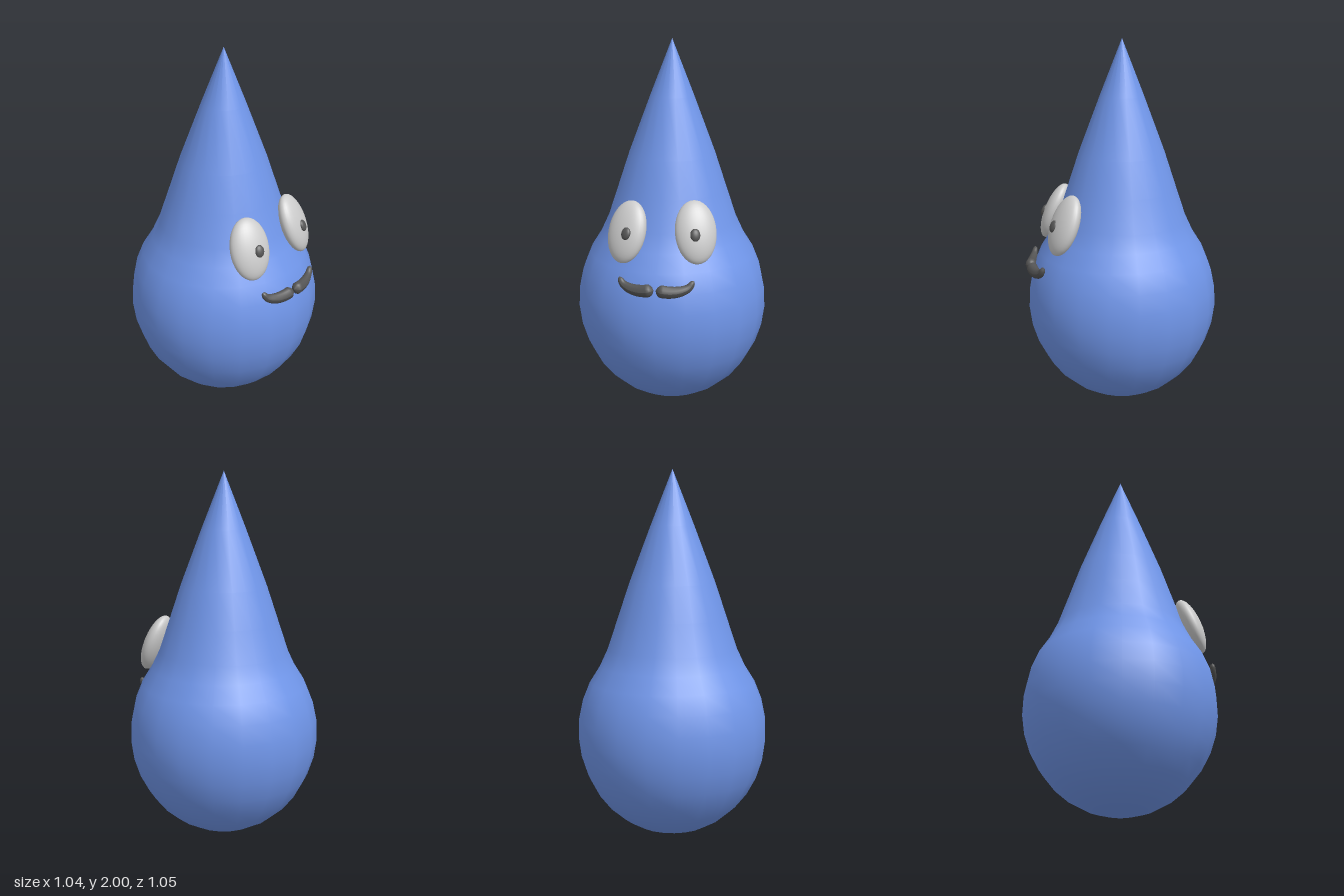
import * as THREE from 'three';

const material = (color) => new THREE.MeshStandardMaterial({ color });

function addMesh(parent, name, geometry, mat) {
  const mesh = new THREE.Mesh(geometry, mat);
  mesh.name = name;
  parent.add(mesh);
  return mesh;
}

// Teardrop: an egg-shaped bowl running into a pointed cone
function bodyGeometry() {
  const profile = [];
  for (let i = 0; i <= 12; i++) {
    const a = THREE.MathUtils.degToRad(-90 + (i * 130) / 12);
    profile.push(new THREE.Vector2(Math.max(0, 0.52 * Math.cos(a)), 0.57 + 0.57 * Math.sin(a)));
  }
  [[0.355, 1.03], [0.298, 1.2], [0.235, 1.39], [0.118, 1.7], [0, 2]]
    .forEach(([r, y]) => profile.push(new THREE.Vector2(r, y)));
  return new THREE.LatheGeometry(profile, 20);
}

// Half moustache: a tube whose rings are scaled to swell and taper
function moustacheGeometry(side) {
  const path = [
    [0.005, 0.778, 0.497], [0.035, 0.773, 0.494], [0.08, 0.768, 0.486],
    [0.13, 0.773, 0.474], [0.17, 0.79, 0.461], [0.196, 0.826, 0.45],
  ].map(([x, y, z]) => new THREE.Vector3(side * x, y, z));
  const curve = new THREE.CatmullRomCurve3(path);
  const rings = 24, sides = 12;
  const geometry = new THREE.TubeGeometry(curve, rings, 1, sides);
  const pos = geometry.attributes.position;
  const v = new THREE.Vector3();
  for (let i = 0; i <= rings; i++) {
    const t = i / rings;
    const centre = curve.getPointAt(t);
    const swell = 0.034 - 0.022 * Math.pow(t, 2.2);
    const cap = Math.sqrt(Math.min(1, t / 0.12)) * Math.sqrt(Math.min(1, (1 - t) / 0.06));
    for (let j = 0; j <= sides; j++) {
      const k = i * (sides + 1) + j;
      v.fromBufferAttribute(pos, k).sub(centre).multiplyScalar(swell * cap);
      v.z *= 0.88;
      v.add(centre);
      pos.setXYZ(k, v.x, v.y, v.z);
    }
  }
  geometry.computeVertexNormals();
  return geometry;
}

export function createModel() {
  const model = new THREE.Group();
  model.name = 'dropCharacter';
  const blue = material(0x7096ea), grey = material(0xcccccc), dark = material(0x555555);

  const body = addMesh(model, 'body', bodyGeometry(), blue);
  body.position.z = -0.008;

  const ball = new THREE.SphereGeometry(1, 32, 20);
  const face = [
    { name: 'left', side: 1, eye: [0.185, 1.05, 0.333], pupil: [0.192, 1.052, 0.393] },
    { name: 'right', side: -1, eye: [-0.175, 1.035, 0.338], pupil: [-0.168, 1.043, 0.4] },
  ];
  for (const { name, side, eye, pupil } of face) {
    // Flattened eye leaning back and turned outward along the body
    const white = addMesh(model, name + 'Eye', ball, grey);
    white.scale.set(0.109, 0.166, 0.058);
    white.position.set(...eye);
    white.rotation.set(-0.38, side * 0.36, 0, 'YXZ');

    const dot = addMesh(model, name + 'Pupil', ball, dark);
    dot.scale.set(0.026, 0.033, 0.015);
    dot.position.set(...pupil);
    dot.rotation.copy(white.rotation);

    addMesh(model, name + 'Moustache', moustacheGeometry(side), dark);
  }
  return model;
}
